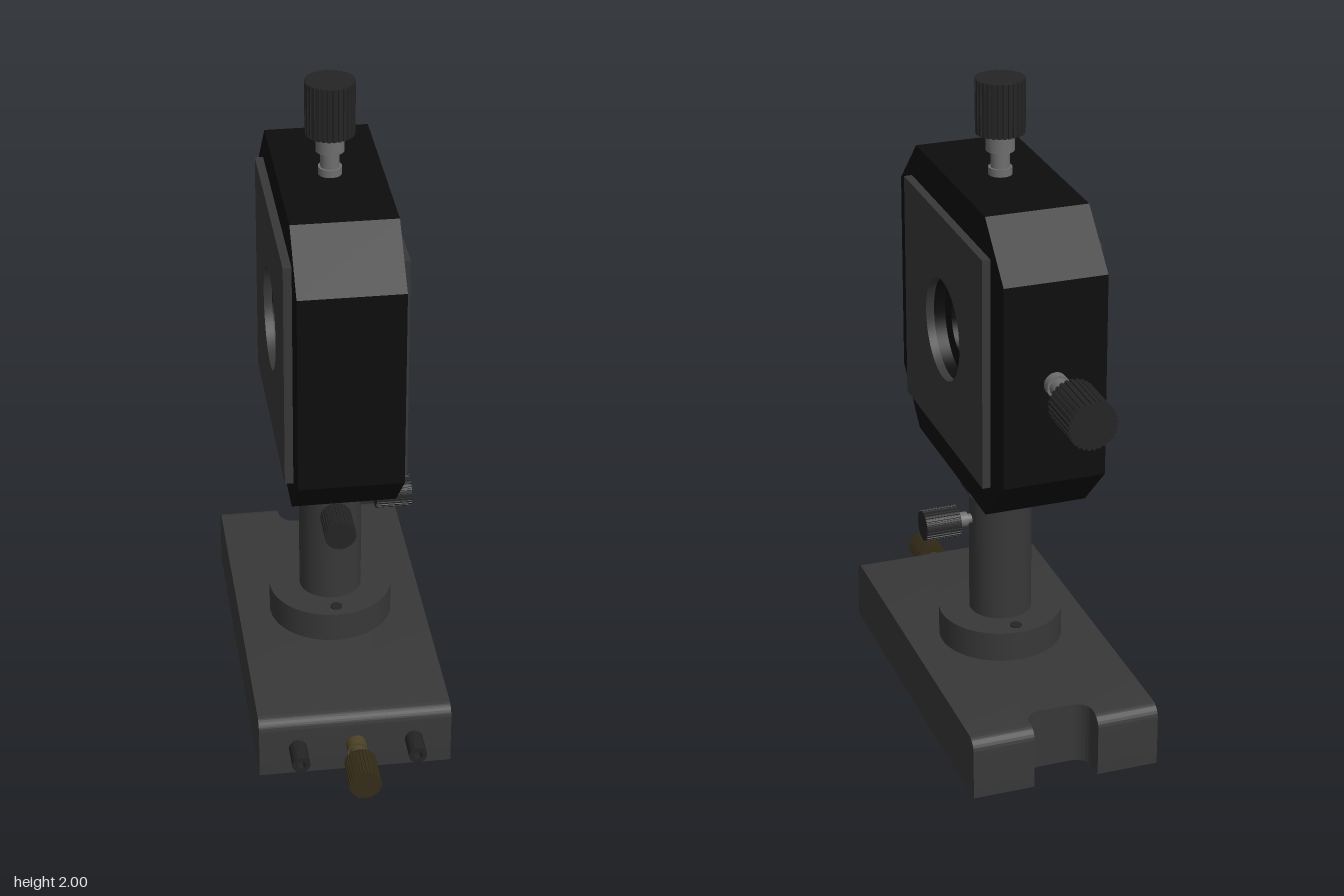
import * as THREE from 'three';
import { toCreasedNormals } from 'three/addons/utils/BufferGeometryUtils.js';

const paint = (color) => new THREE.MeshStandardMaterial({ color });
const MAT = {
  base: paint(0x383838), black: paint(0x0d0d0d), knob: paint(0x242424),
  steel: paint(0x6e6e6e), brass: paint(0x4d4428), darkBrass: paint(0x352c18), glass: paint(0xb8b8b8),
};
const ZC = -0.01; // common centre line of post and mount

export function createModel() {
  const model = new THREE.Group();

  function add(parent, name, geo, mat, x = 0, y = 0, z = 0) {
    const mesh = new THREE.Mesh(geo, mat);
    mesh.name = name;
    mesh.position.set(x, y, z);
    parent.add(mesh);
    return mesh;
  }
  const extrude = (shape, depth) => toCreasedNormals(
    new THREE.ExtrudeGeometry(shape, { depth, bevelEnabled: false, curveSegments: 32 }), 0.6);
  // Extrusion centred along x; the shape is drawn in (-z, y)
  const extrudeX = (shape, width) => extrude(shape, width).translate(0, 0, -width / 2).rotateY(Math.PI / 2);
  const polygon = (pts) => new THREE.Shape(pts.map(([x, y]) => new THREE.Vector2(x, y)));
  const circle = (Type, r) => new Type().absarc(0, 0, r, 0, Math.PI * 2, Type === THREE.Path);
  // Cylinder standing on y0
  const rod = (r, y0, y1, seg = 40) =>
    new THREE.CylinderGeometry(r, r, y1 - y0, seg).translate(0, (y0 + y1) / 2, 0);

  // Knurled grip standing on y0
  function grip(r, y0, y1, ribs) {
    const pts = [];
    for (let i = 0; i < ribs; i++) {
      [[0, r], [0.5, r], [0.6, r * 0.94], [0.9, r * 0.94]].forEach(([t, rad]) => {
        const a = ((i + t) / ribs) * Math.PI * 2;
        pts.push([Math.cos(a) * rad, Math.sin(a) * rad]);
      });
    }
    const geo = new THREE.ExtrudeGeometry(polygon(pts), { depth: y1 - y0, bevelEnabled: false });
    return geo.rotateX(-Math.PI / 2).translate(0, y0, 0);
  }

  // Screw along +y: stem steps [radius, y0, y1], then a knurled grip
  function screw(name, steps, head, stemMat, headMat) {
    const g = new THREE.Group();
    g.name = name;
    steps.forEach(([r, a, b]) => add(g, name + 'Stem', rod(r, a, b, 32), stemMat));
    add(g, name + 'Grip', grip(...head, 28), headMat);
    model.add(g);
    return g;
  }

  // Base plate: side profile with rounded upper ends
  const H = 0.195, R = 0.04;
  function sideProfile(back, roundBack) {
    const s = new THREE.Shape();
    s.moveTo(-0.565, 0);
    s.lineTo(back, 0);
    if (roundBack) s.absarc(back - R, H - R, R, 0, Math.PI / 2, false);
    else s.lineTo(back, H);
    s.absarc(-0.565 + R, H - R, R, Math.PI / 2, Math.PI, false);
    s.closePath();
    return s;
  }
  const base = new THREE.Group();
  base.name = 'base';
  model.add(base);
  for (const side of [-1, 1]) {
    add(base, 'baseSide', extrudeX(sideProfile(0.597, true), 0.19), MAT.base, side * 0.195);
  }
  add(base, 'baseCentre', extrudeX(sideProfile(0.44, false), 0.2), MAT.base);
  // Floor of the rear slot with its filleted corners
  const slot = new THREE.Shape();
  slot.moveTo(-0.1, 0.44);
  slot.lineTo(0.1, 0.44);
  slot.lineTo(0.1, 0.55);
  slot.absarc(0.05, 0.55, 0.05, 0, -Math.PI / 2, true);
  slot.lineTo(-0.05, 0.5);
  slot.absarc(-0.05, 0.55, 0.05, -Math.PI / 2, -Math.PI, true);
  slot.closePath();
  add(base, 'baseSlot', extrude(slot, H).rotateX(-Math.PI / 2), MAT.base);

  // Socket-head pins on the front of the base
  const hex = new THREE.Path();
  for (let i = 0; i <= 6; i++) {
    const a = -i * Math.PI / 3;
    hex[i ? 'lineTo' : 'moveTo'](Math.cos(a) * 0.015, Math.sin(a) * 0.015);
  }
  const pinHead = circle(THREE.Shape, 0.027);
  pinHead.holes.push(hex);
  for (const side of [-1, 1]) {
    add(model, 'pinHead', extrude(pinHead, 0.03), MAT.knob, side * 0.175, 0.1, 0.628);
    add(model, 'pinBody', rod(0.027, 0.01, 0.065).rotateX(Math.PI / 2), MAT.knob, side * 0.175, 0.1, 0.565);
    add(model, 'pinNeck', rod(0.021, -0.01, 0.02).rotateX(Math.PI / 2), MAT.knob, side * 0.175, 0.1, 0.565);
  }

  // Post holder, flange and post
  add(model, 'flange', rod(0.19, 0.195, 0.29, 64), MAT.base, 0, 0, ZC);
  for (const side of [-1, 1]) {
    add(model, 'flangeScrew', rod(0.018, 0.28, 0.293, 20), MAT.knob, 0, 0, ZC + side * 0.145);
  }
  add(model, 'postHolder', rod(0.096, 0.29, 0.68, 48), MAT.base, 0, 0, ZC);
  add(model, 'post', new THREE.BoxGeometry(0.09, 0.12, 0.19), MAT.brass, 0, 0.73, ZC);

  // Mount: chamfered block with a round recess through both plates
  const CY = 1.245, A = 0.465, C = A - 0.155;
  const withHole = (shape, r) => { shape.holes.push(circle(THREE.Path, r)); return shape; };
  const octagon = polygon([[-C, -A], [C, -A], [A, -C], [A, C], [C, A], [-C, A], [-A, C], [-A, -C]]);
  const mount = new THREE.Group();
  mount.name = 'mount';
  mount.position.set(0, CY, ZC);
  model.add(mount);
  add(mount, 'mountBlock', extrudeX(withHole(octagon, 0.155), 0.31), MAT.black);
  add(mount, 'apertureRing', extrudeX(withHole(circle(THREE.Shape, 0.157), 0.095), 0.24), MAT.black);
  const P = 0.355;
  for (const side of [-1, 1]) {
    const plate = withHole(polygon([[-P, -P], [P, -P], [P, P], [-P, P]]), 0.155);
    add(mount, 'facePlate', extrudeX(plate, 0.025), MAT.base, side * 0.1675);
  }
  add(mount, 'opticCube', new THREE.BoxGeometry(0.15, 0.15, 0.176), MAT.glass);

  // Adjuster knobs on the top and back of the mount
  const adjuster = () => screw('adjuster',
    [[0.035, -0.02, 0.025], [0.028, 0.025, 0.08], [0.042, 0.075, 0.135]],
    [0.073, 0.13, 0.292], MAT.steel, MAT.knob);
  adjuster().position.set(0, 1.708, ZC);
  const rear = adjuster();
  rear.position.set(0, CY, -0.478);
  rear.rotation.x = -Math.PI / 2;

  // Thumbscrews clamping the post, on the left and the front
  const thumb = () => screw('thumbscrew', [[0.015, -0.02, 0.05], [0.023, 0.015, 0.05]],
    [0.048, 0.045, 0.155], MAT.steel, MAT.knob);
  const leftThumb = thumb();
  leftThumb.position.set(0.094, 0.605, ZC);
  leftThumb.rotation.z = -Math.PI / 2;
  const frontThumb = thumb();
  frontThumb.position.set(0, 0.615, ZC + 0.086);
  frontThumb.rotation.x = Math.PI / 2;

  // Brass screw on the front of the base
  const lock = screw('baseScrew', [[0.017, -0.02, 0.1], [0.03, 0.012, 0.05], [0.024, 0.05, 0.1]],
    [0.048, 0.1, 0.212], MAT.brass, MAT.darkBrass);
  lock.position.set(0, 0.1, 0.565);
  lock.rotation.x = Math.PI / 2;

  return model;
}
